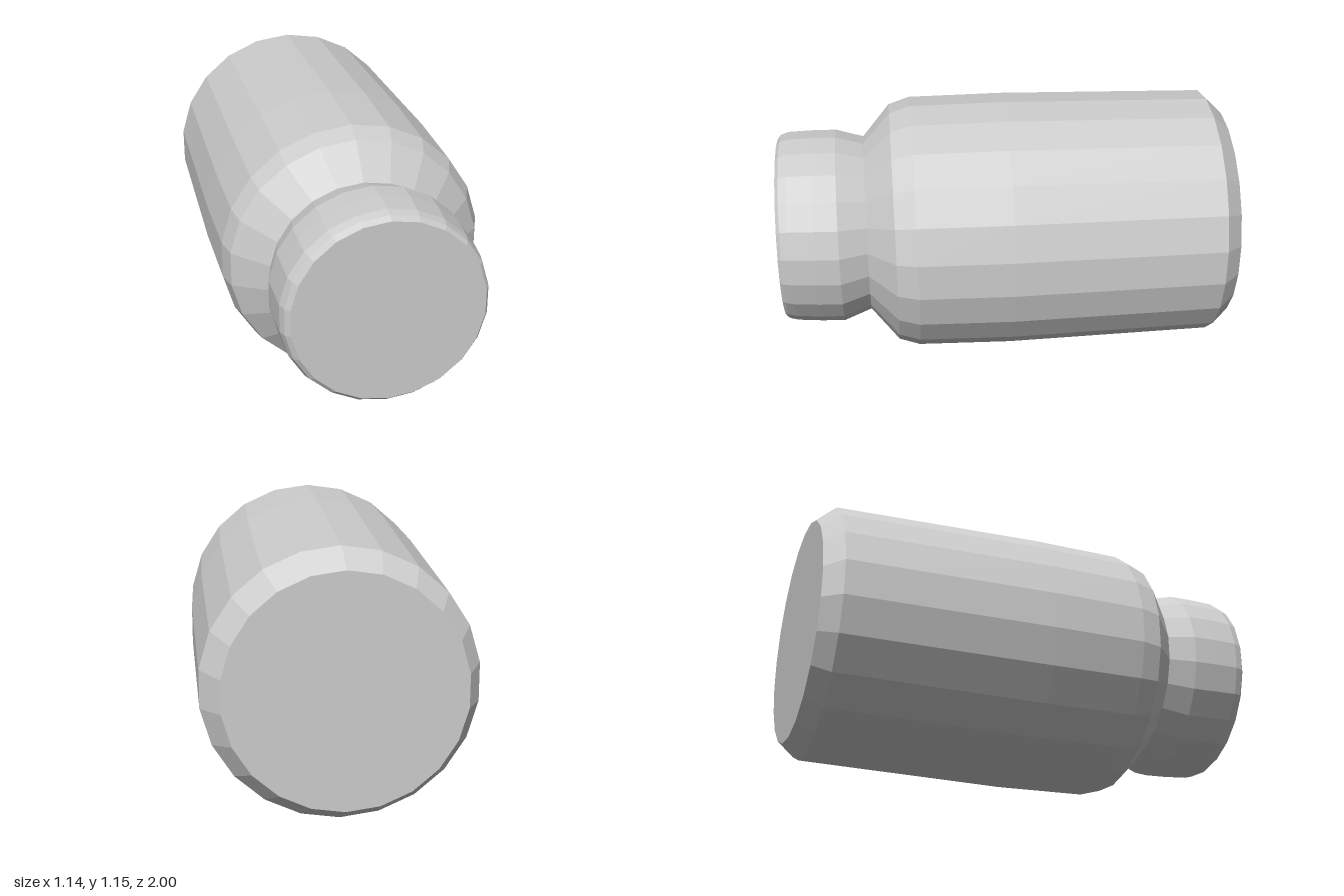
import * as THREE from 'three';

const SIDES = 22;

// Loft along z through rings [z, radius, centreX, centreY]; the ends are closed flat.
function loft(name, rings, material) {
  const first = rings[0], last = rings[rings.length - 1];
  const rows = [[first[0], 0, first[2], first[3]], ...rings, [last[0], 0, last[2], last[3]]];
  const geometry = new THREE.LatheGeometry(rows.map(([z, r]) => new THREE.Vector2(r, z)), SIDES);
  geometry.rotateX(Math.PI / 2);
  const pos = geometry.attributes.position;
  for (let i = 0; i < pos.count; i++) {
    const [, , cx, cy] = rows[i % rows.length];
    pos.setXY(i, pos.getX(i) + cx, pos.getY(i) + cy);
  }
  geometry.computeVertexNormals();
  const mesh = new THREE.Mesh(geometry, material);
  mesh.name = name;
  return mesh;
}

export function createModel() {
  const group = new THREE.Group();
  group.name = 'bottle';
  const material = new THREE.MeshStandardMaterial({ color: 0xcccccc, flatShading: true });

  // Bottle body: bevelled base, long slightly uneven barrel, sloping shoulder
  group.add(loft('body', [
    [-1.0, 0.49, -0.03, 0.55],
    [-0.92, 0.558, -0.015, 0.562],
    [0.0, 0.574, -0.003, 0.576],
    [0.41, 0.567, 0.0, 0.583],
    [0.5, 0.538, -0.005, 0.58],
    [0.62, 0.395, 0.0, 0.585],
  ], material));

  // Cap: flares out from the neck, rounded over at the front
  group.add(loft('cap', [
    [0.62, 0.395, 0.0, 0.585],
    [0.74, 0.435, 0.01, 0.585],
    [0.84, 0.434, 0.01, 0.588],
    [0.95, 0.428, 0.007, 0.59],
    [0.985, 0.417, 0.01, 0.59],
    [1.0, 0.4, 0.015, 0.587],
  ], material));

  return group;
}
